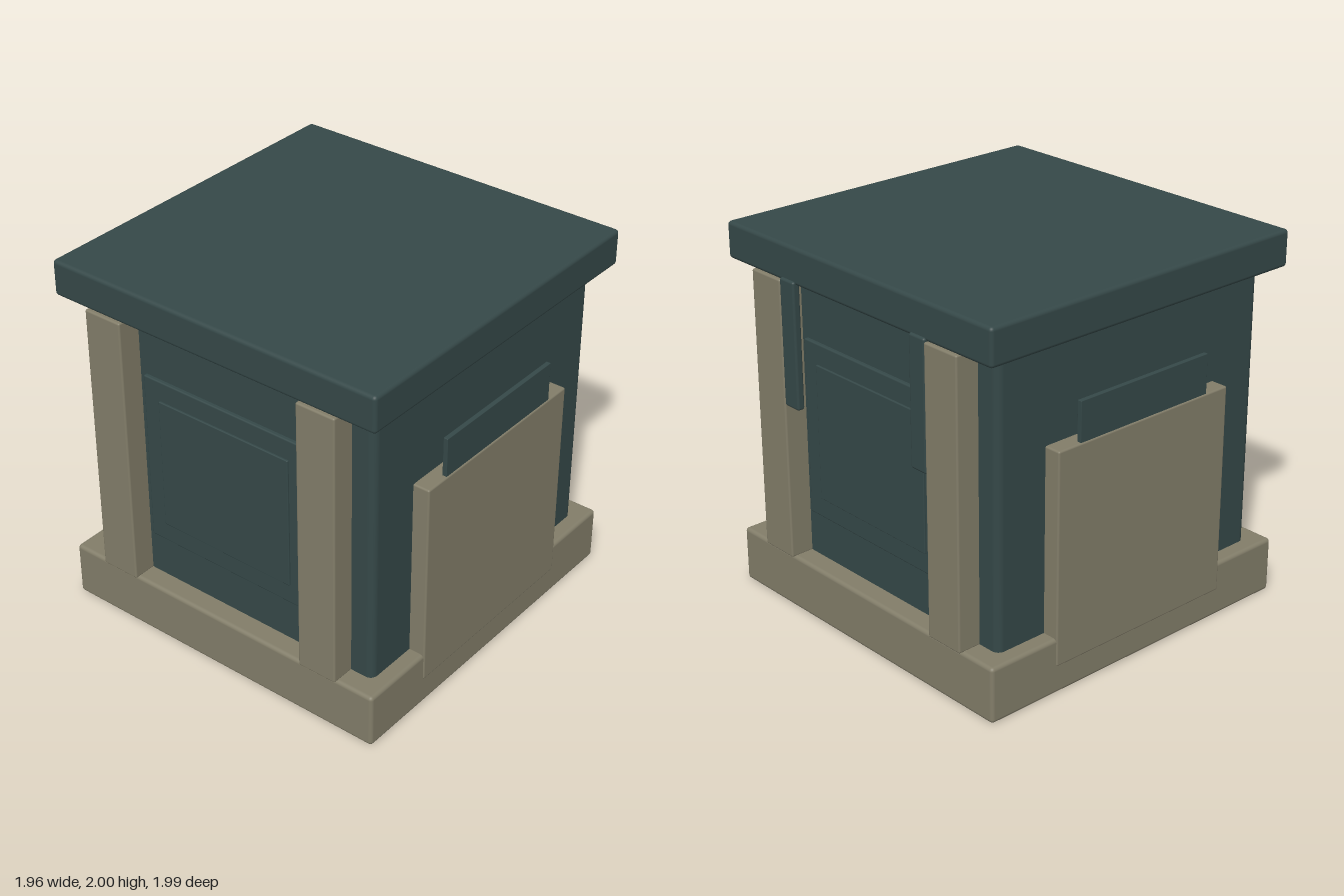
import * as THREE from 'three';
import { RoundedBoxGeometry } from 'three/addons/geometries/RoundedBoxGeometry.js';

export function createModel() {
  const group = new THREE.Group();
  const slate = new THREE.MeshStandardMaterial({ color: 0x354848 });
  slate.name = 'dark slate';
  const stone = new THREE.MeshStandardMaterial({ color: 0x827d69 });
  stone.name = 'khaki stone';

  // Rounded block given by its min and max corners
  function block(name, material, [x0, y0, z0], [x1, y1, z1], radius) {
    const geometry = new RoundedBoxGeometry(x1 - x0, y1 - y0, z1 - z0, 3, radius);
    const mesh = new THREE.Mesh(geometry, material);
    mesh.position.set((x0 + x1) / 2, (y0 + y1) / 2, (z0 + z1) / 2);
    mesh.name = name;
    return mesh;
  }

  // Plinth, body and roof slab
  group.add(
    block('base', stone, [-0.975, 0, -0.978], [0.975, 0.3, 0.978], 0.02),
    block('body', slate, [-0.89, 0.2, -0.865], [0.89, 1.9, 0.865], 0.04),
    block('roof', slate, [-0.978, 1.805, -0.978], [0.978, 2, 0.978], 0.02),
  );

  // Stepped panels and pillars, the same on front and back
  for (const [label, turn] of [['front', 0], ['back', Math.PI]]) {
    const face = new THREE.Group();
    face.name = label + 'Face';
    face.rotation.y = turn;
    face.add(
      block('outerPanel', slate, [-0.505, 0.54, 0.8], [0.505, 1.49, 0.885], 0.008),
      block('innerPanel', slate, [-0.405, 0.65, 0.8], [0.405, 1.38, 0.895], 0.005),
    );
    for (const x of [-0.65, 0.65]) {
      face.add(block('pillar', stone, [x - 0.112, 0.295, 0.75], [x + 0.112, 1.81, 0.993], 0.01));
      // Hanging strips beside the back pillars
      if (label === 'back') {
        const c = Math.sign(x) * 0.485;
        face.add(block('hangingStrip', slate, [c - 0.055, 1.15, 0.95], [c + 0.055, 1.825, 0.992], 0.012));
      }
    }
    group.add(face);
  }

  // Side slabs, each with a thin upright plate rising from its top
  for (const [label, turn] of [['left', Math.PI / 2], ['right', -Math.PI / 2]]) {
    const side = new THREE.Group();
    side.name = label + 'Side';
    side.rotation.y = turn;
    side.add(
      block('sideSlab', stone, [-0.568, 0.15, 0.8], [0.568, 1.285, 0.981], 0.01),
      block('sidePlate', slate, [-0.425, 1.1, 0.95], [0.425, 1.495, 0.975], 0.003),
    );
    group.add(side);
  }

  return group;
}
